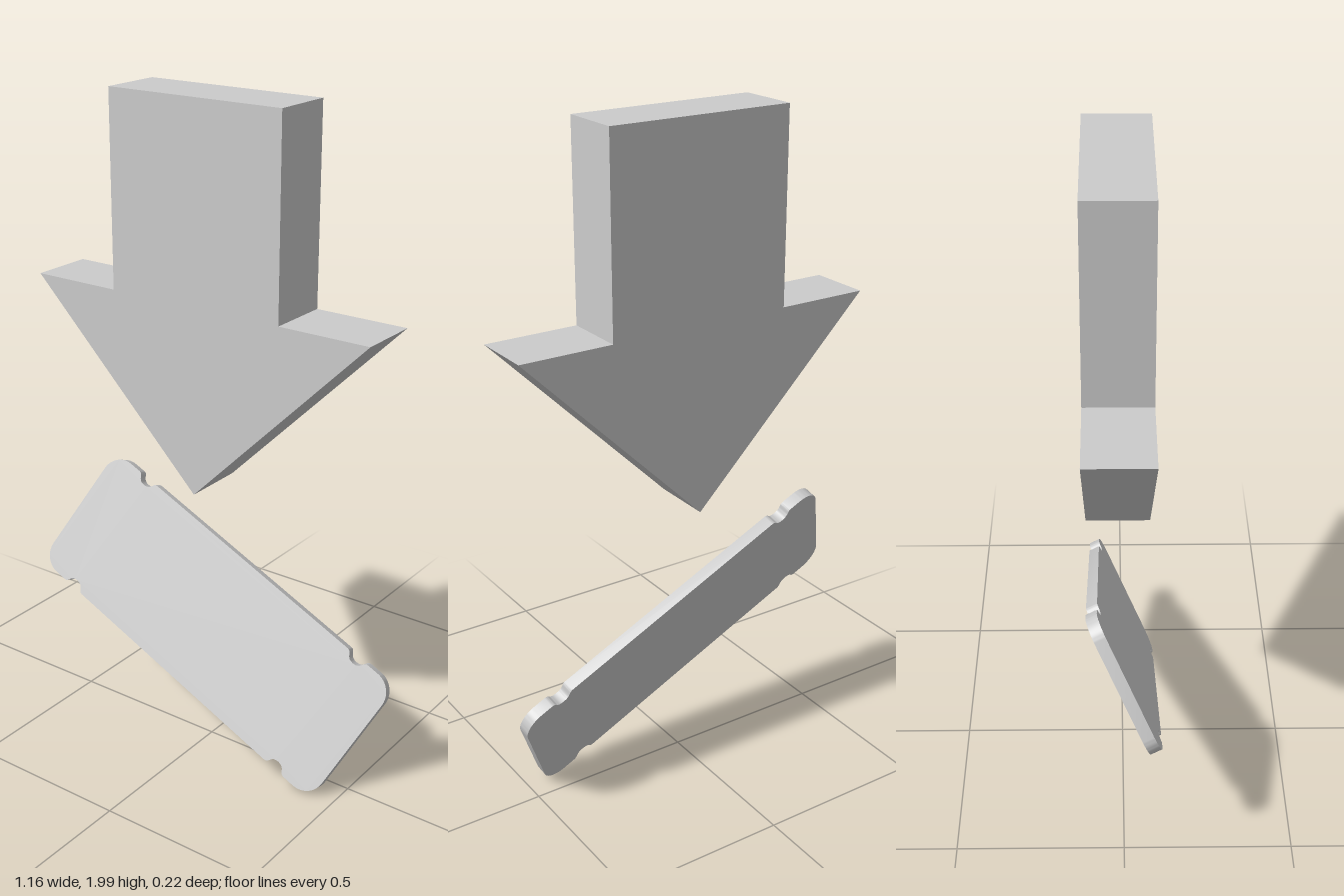
import * as THREE from 'three';
import { toCreasedNormals } from 'three/addons/utils/BufferGeometryUtils.js';

const material = new THREE.MeshStandardMaterial({ color: 0xcccccc });

// Extrude a shape, centred on its own z = 0
function slab(name, shape, depth) {
  const geometry = new THREE.ExtrudeGeometry(shape, { depth, bevelEnabled: false, curveSegments: 8 });
  geometry.translate(0, 0, -depth / 2);
  const mesh = new THREE.Mesh(toCreasedNormals(geometry, 0.6), material);
  mesh.name = name;
  return mesh;
}

// Downward arrow, origin at the shoulder line
function arrowShape() {
  const shaft = 0.282, head = 0.563, drop = 0.565, top = 0.57;
  return new THREE.Shape([
    [0, -drop], [head, 0], [shaft, 0], [shaft, top],
    [-shaft, top], [-shaft, 0], [-head, 0],
  ].map(([x, y]) => new THREE.Vector2(x, y)));
}

// Rounded plate with small notches near the ends of both long edges
function plateShape() {
  const w = 0.566, h = 0.215, r = 0.065, notchX = 0.426, half = 0.038, deep = 0.025;
  const s = new THREE.Shape();
  const notch = (x, side) => {
    // side is -1 on the lower edge (drawn to +x) and +1 on the upper (drawn to -x)
    const d = -side * half, y = side * h, inner = side * (h - deep);
    s.lineTo(x - d, y);
    s.bezierCurveTo(x - d * 0.55, y, x - d * 0.75, inner, x, inner);
    s.bezierCurveTo(x + d * 0.75, inner, x + d * 0.55, y, x + d, y);
  };
  s.moveTo(-w + r, -h);
  notch(-notchX, -1);
  notch(notchX, -1);
  s.lineTo(w - r, -h);
  s.absarc(w - r, -h + r, r, -Math.PI / 2, 0);
  s.absarc(w - r, h - r, r, 0, Math.PI / 2);
  notch(notchX, 1);
  notch(-notchX, 1);
  s.absarc(-w + r, h - r, r, Math.PI / 2, Math.PI);
  s.absarc(-w + r, -h + r, r, Math.PI, Math.PI * 1.5);
  return s;
}

export function createModel() {
  const model = new THREE.Group();
  model.name = 'arrowOverPlate';

  const arrow = slab('arrow', arrowShape(), 0.19);
  arrow.position.set(-0.005, 1.43, -0.014);
  model.add(arrow);

  // Plate leans back about its long axis and rolls down to the right
  const plate = slab('plate', plateShape(), 0.035);
  plate.rotation.set(THREE.MathUtils.degToRad(-25), 0, THREE.MathUtils.degToRad(-25.2), 'ZXY');
  plate.position.set(0, 0.417, 0);
  model.add(plate);

  return model;
}
